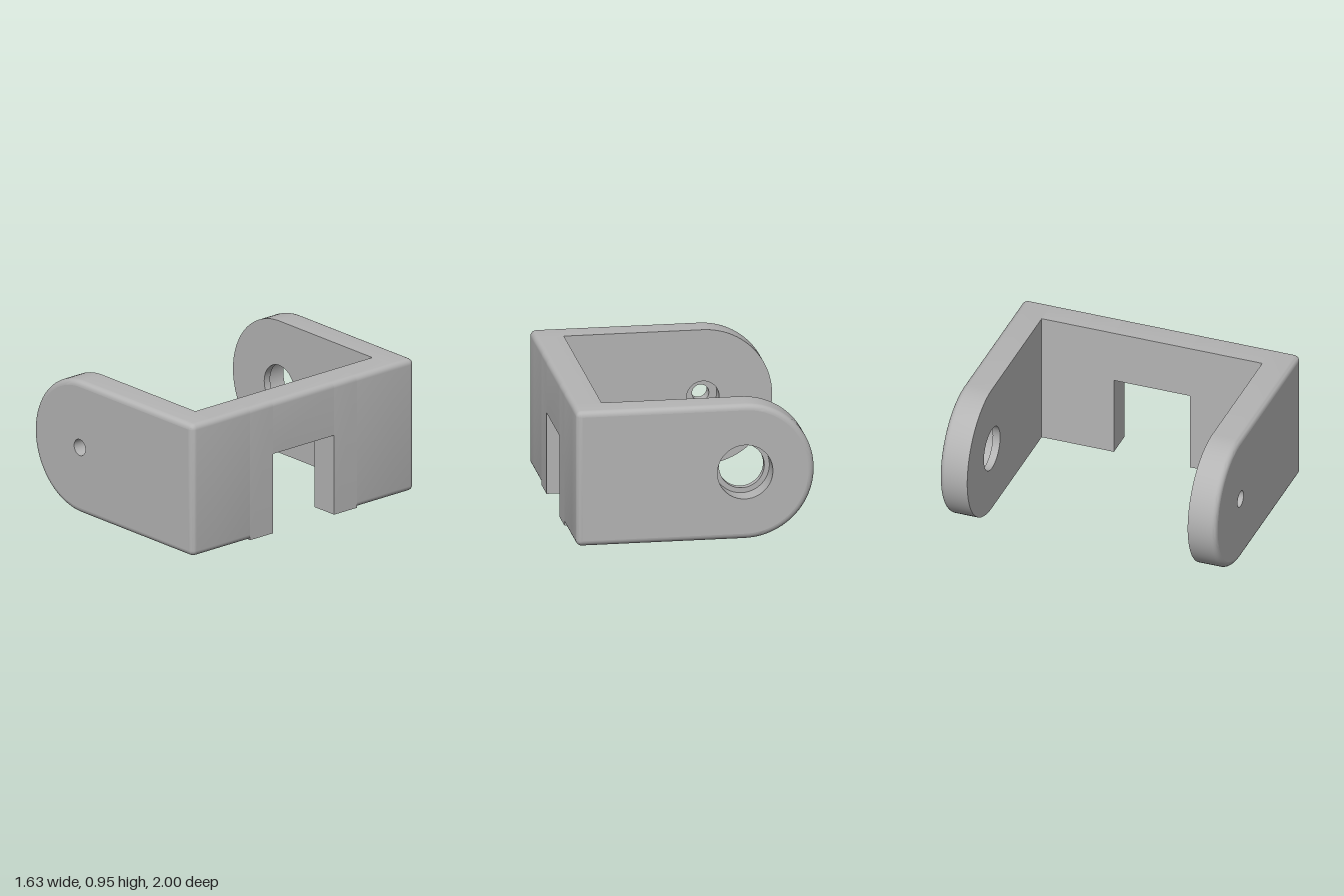
import * as THREE from 'three';
import { mergeGeometries, toCreasedNormals } from 'three/addons/utils/BufferGeometryUtils.js';

const H = 0.475;            // half height, radius of the arm's round end
const XR = 0.815;           // outer face of the cross plate
const XI = 0.612;           // inner face of the cross plate
const PIVOT = -0.34;        // x of the pivot holes
const FILLET = 0.04;
const IN = 0.797, OUT = 1;  // inner and outer face of an arm

// Points along an arc, both ends included
function arc(cx, cy, r, from, to, n) {
  return Array.from({ length: n + 1 }, (_, i) => {
    const a = from + (to - from) * i / n;
    return new THREE.Vector2(cx + r * Math.cos(a), cy + r * Math.sin(a));
  });
}

// Arm outline, counterclockwise, pulled in by an inset
function outline(inset) {
  const r = Math.max(FILLET - inset, 0.0005), c = H - FILLET, q = Math.PI / 2;
  return [
    ...arc(PIVOT, 0, H - inset, q, 3 * q, 48),
    ...arc(XR - FILLET, -c, r, -q, 0, 6),
    ...arc(XR - FILLET, c, r, 0, q, 6),
  ];
}

// Arm skin: straight wall, then a fillet into the outer face
function armWall() {
  const rings = [[0, IN]];
  for (let k = 0; k <= 6; k++) {
    const t = k / 6 * Math.PI / 2;
    rings.push([FILLET * (1 - Math.cos(t)), OUT - FILLET + FILLET * Math.sin(t)]);
  }
  const pos = [], idx = [];
  let n = 0;
  rings.forEach(([inset, z], k) => {
    const pts = outline(inset);
    n = pts.length;
    pts.forEach((p, i) => {
      pos.push(p.x, p.y, z);
      if (k === 0) return;
      const a = (k - 1) * n + i, b = (k - 1) * n + (i + 1) % n;
      idx.push(a, b, b + n, a, b + n, a + n);
    });
  });
  const g = new THREE.BufferGeometry();
  g.setAttribute('position', new THREE.Float32BufferAttribute(pos, 3));
  g.setIndex(idx);
  return toCreasedNormals(g, 0.6);
}

// Flat arm face with a round hole
function armFace(inset, holeRadius) {
  const s = new THREE.Shape(outline(inset));
  s.holes.push(new THREE.Path().absarc(PIVOT, 0, holeRadius, 0, Math.PI * 2, true));
  return new THREE.ShapeGeometry(s, 24);
}

// Arm with a stepped hole: outer radius down to the step, then inner radius
function makeArm(name, rOuter, rInner, stepZ, mat) {
  const arm = new THREE.Group();
  arm.name = name;
  const add = (part, g) => {
    const m = new THREE.Mesh(g, mat);
    m.name = part;
    arm.add(m);
  };
  add('armWall', armWall());
  add('armOuterFace', armFace(FILLET, rOuter).translate(0, 0, OUT));
  add('armInnerFace', armFace(0, rInner).rotateX(Math.PI).translate(0, 0, IN));
  const profile = [[rOuter, OUT], [rOuter, stepZ], [rInner, stepZ], [rInner, IN]]
    .map(p => new THREE.Vector2(...p));
  const bore = [0, 1, 2].map(i => new THREE.LatheGeometry(profile.slice(i, i + 2), 48));
  add('steppedHole', mergeGeometries(bore).rotateX(Math.PI / 2).translate(PIVOT, 0, 0));
  return arm;
}

// Slice of the cross plate between two z values
function plateSlice(bottom, roundBottom, z0, z1) {
  const q = Math.PI / 2, x = XR - FILLET;
  const low = roundBottom
    ? arc(x, bottom + FILLET, FILLET, -q, 0, 6)
    : [new THREE.Vector2(XR, bottom)];
  const s = new THREE.Shape([
    new THREE.Vector2(XI, bottom), ...low,
    ...arc(x, H - FILLET, FILLET, 0, q, 6),
    new THREE.Vector2(XI, H),
  ]);
  const g = new THREE.ExtrudeGeometry(s, { depth: z1 - z0, bevelEnabled: false });
  return toCreasedNormals(g.translate(0, 0, z0), 0.6);
}

export function createModel() {
  const grey = new THREE.MeshStandardMaterial({ color: 0xb4b4b4 });
  grey.name = 'grey';
  const model = new THREE.Group();
  model.name = 'bracket';
  const body = new THREE.Group();
  body.name = 'bracketBody';
  body.position.y = H;
  model.add(body);

  // Arms: the back one is the same shape turned over, with a larger bore
  body.add(makeArm('frontArm', 0.058, 0.112, 0.9, grey));
  const back = makeArm('backArm', 0.19, 0.155, 0.85, grey);
  back.rotation.x = Math.PI;
  body.add(back);

  // Cross plate with a notch; the lower edge is sharp beside the notch
  const notch = 0.275, sharp = 0.48, notchTop = 0.572 - H;
  const slices = [
    ['plateBridge', notchTop, false, -notch, notch],
    ['plateLeg', -H, false, notch, sharp],
    ['plateLeg', -H, false, -sharp, -notch],
    ['plateSide', -H, true, sharp, IN],
    ['plateSide', -H, true, -IN, -sharp],
  ];
  for (const [name, ...args] of slices) {
    const m = new THREE.Mesh(plateSlice(...args), grey);
    m.name = name;
    body.add(m);
  }
  return model;
}
